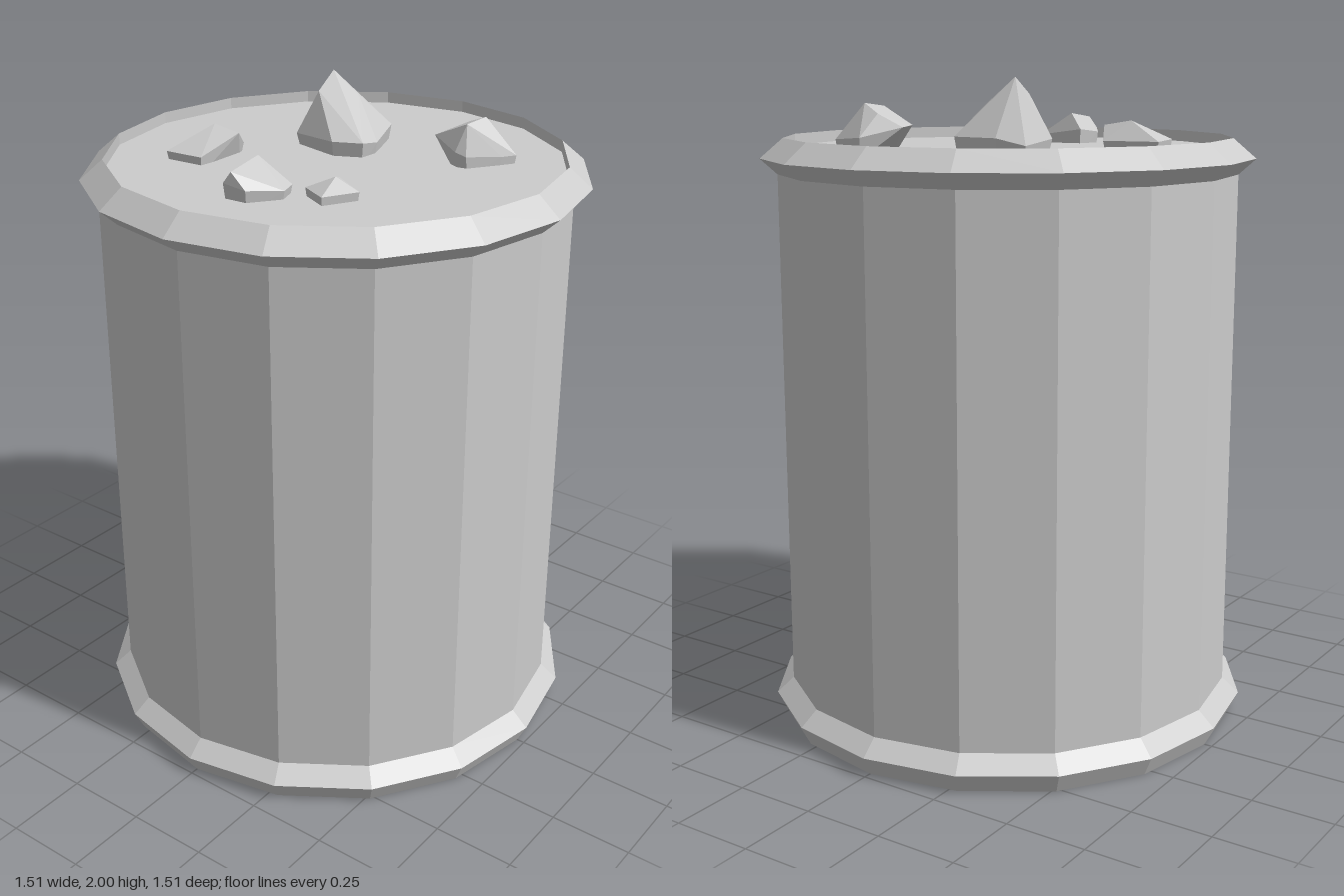
import * as THREE from 'three';
import { ConvexGeometry } from 'three/addons/geometries/ConvexGeometry.js';

const SIDES = 16;
const FLOOR = 1.785; // height of the recessed top surface
const material = new THREE.MeshStandardMaterial({ color: 0xcccccc, flatShading: true });

function addMesh(parent, name, geometry) {
  const mesh = new THREE.Mesh(geometry, material);
  mesh.name = name;
  parent.add(mesh);
  return mesh;
}

// Faceted ring turned from a [radius, height] profile
function ring(profile) {
  return new THREE.LatheGeometry(profile.map(([r, y]) => new THREE.Vector2(r, y)), SIDES);
}

// Convex rock: upper corners, plus a lower outline that is also sunk into the surface
function rock(upper, outline) {
  const cx = outline.reduce((s, p) => s + p[0], 0) / outline.length;
  const cz = outline.reduce((s, p) => s + p[2], 0) / outline.length;
  const sunk = outline.map(([x, , z]) => [cx + (x - cx) * 0.9, FLOOR - 0.03, cz + (z - cz) * 0.9]);
  return new ConvexGeometry([...upper, ...outline, ...sunk].map((p) => new THREE.Vector3(...p)));
}

export function createModel() {
  const model = new THREE.Group();
  model.name = 'filledBarrel';

  // Closed drum; its end caps sit slightly inside the rims
  const body = addMesh(model, 'body', new THREE.CylinderGeometry(0.703, 0.703, FLOOR - 0.035, SIDES));
  body.position.y = (FLOOR + 0.035) / 2;

  // Bevelled rims at both ends
  addMesh(model, 'bottomRim', ring([
    [0.7, 0.04], [0.725, 0], [0.755, 0.06], [0.7, 0.11],
  ]));
  addMesh(model, 'topRim', ring([
    [0.7, 1.71], [0.755, 1.76], [0.685, 1.82], [0.685, 1.77],
  ]));

  // Rocks poking out of the top: [upper corners, lower outline]
  const rocks = {
    largeRock: [
      [[0.185, 2, -0.15], [0.11, 1.95, -0.15], [0.21, 1.93, -0.075]],
      [[0.29, 1.81, -0.255], [0.07, 1.82, -0.205], [0.03, 1.83, -0.04], [0.07, 1.83, 0.045],
        [0.135, 1.82, 0.05], [0.295, 1.83, -0.01], [0.31, 1.83, -0.165]],
    ],
    frontRock: [
      [[0.26, 1.92, 0.35], [0.19, 1.91, 0.33], [0.285, 1.89, 0.28], [0.205, 1.855, 0.21], [0.26, 1.85, 0.205]],
      [[0.16, 1.83, 0.31], [0.165, 1.82, 0.345], [0.26, 1.81, 0.41], [0.3, 1.81, 0.435], [0.35, 1.82, 0.3]],
    ],
    backRock: [
      [[-0.135, 1.87, -0.355], [-0.13, 1.855, -0.265]],
      [[-0.285, 1.81, -0.415], [-0.115, 1.81, -0.46], [-0.08, 1.81, -0.29], [-0.275, 1.81, -0.29]],
    ],
    sideRock: [
      [[-0.46, 1.865, -0.015], [-0.33, 1.88, -0.025]],
      [[-0.465, 1.83, -0.04], [-0.405, 1.82, -0.08], [-0.32, 1.83, -0.065],
        [-0.31, 1.81, 0.08], [-0.37, 1.81, 0.1], [-0.46, 1.82, 0.035]],
    ],
    smallRock: [
      [[-0.27, 1.845, 0.2]],
      [[-0.31, 1.81, 0.125], [-0.205, 1.82, 0.165], [-0.255, 1.81, 0.27], [-0.355, 1.81, 0.215]],
    ],
  };
  for (const [name, [upper, outline]] of Object.entries(rocks)) {
    addMesh(model, name, rock(upper, outline));
  }
  return model;
}
